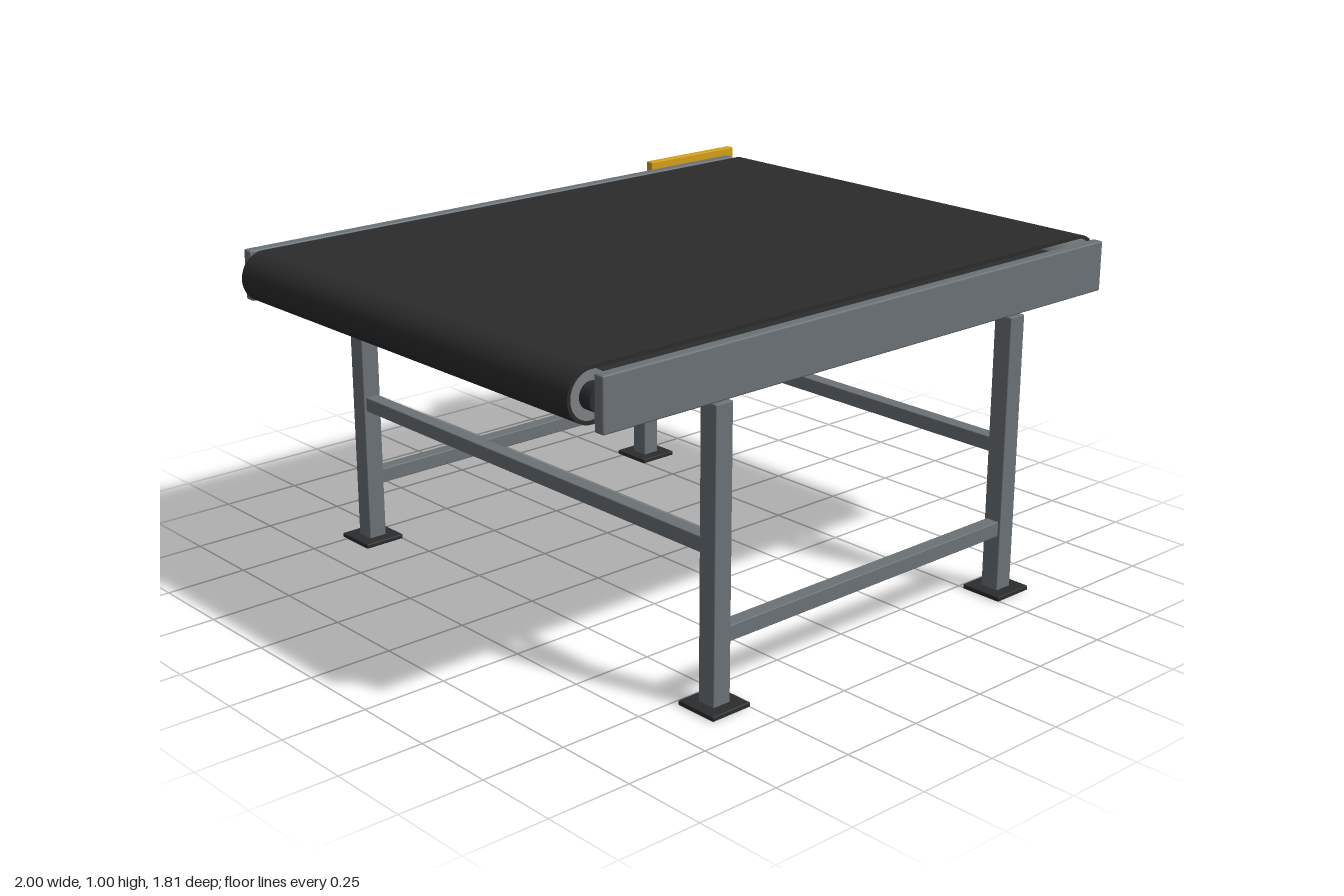
import * as THREE from 'three';
import { RoundedBoxGeometry } from 'three/addons/geometries/RoundedBoxGeometry.js';

const mat = (name, color, extra = {}) => {
  const m = new THREE.MeshStandardMaterial({ color, ...extra });
  m.name = name;
  return m;
};

export function createModel() {
  const model = new THREE.Group();
  model.name = 'beltConveyor';
  const steel = mat('paintedSteel', 0x6b7276);
  const rollerSteel = mat('rollerSteel', 0x7c8184);
  const rubber = mat('beltRubber', 0x2b2b2b);
  const dark = mat('darkMetal', 0x2b2c2d);
  const yellow = mat('guardYellow', 0xd4a017);

  const add = (name, geometry, material, x, y, z) => {
    const mesh = new THREE.Mesh(geometry, material);
    mesh.name = name;
    mesh.position.set(x, y, z);
    model.add(mesh);
    return mesh;
  };
  // Box given by its limits on each axis, with slightly eased edges
  const box = (name, material, [x0, x1], [y0, y1], [z0, z1], r = 0.003) =>
    add(name, new RoundedBoxGeometry(x1 - x0, y1 - y0, z1 - z0, 2, r), material,
      (x0 + x1) / 2, (y0 + y1) / 2, (z0 + z1) / 2);
  const rod = (name, material, radius, length, axis, x, y, z) => {
    const g = new THREE.CylinderGeometry(radius, radius, length, 40);
    if (axis === 'x') g.rotateZ(Math.PI / 2); else g.rotateX(Math.PI / 2);
    return add(name, g, material, x, y, z);
  };

  const zMid = 0.066;               // frame centre line
  const sideZ = [zMid - 0.77, zMid + 0.77];
  const legX = [-0.565, 0.56];
  const axleX = 0.925, axleY = 0.916, beltR = 0.074, beltW = 1.436;

  // Belt: closed loop around the two rollers
  const loop = (Path, r) => {
    const p = new Path();
    p.absarc(axleX, 0, r, -Math.PI / 2, Math.PI / 2, false);
    p.absarc(-axleX, 0, r, Math.PI / 2, Math.PI * 1.5, false);
    p.closePath();
    return p;
  };
  const beltShape = loop(THREE.Shape, beltR);
  beltShape.holes.push(loop(THREE.Path, beltR - 0.01));
  const beltGeo = new THREE.ExtrudeGeometry(beltShape, { depth: beltW, bevelEnabled: false, curveSegments: 24 });
  add('belt', beltGeo, rubber, 0, axleY, zMid - beltW / 2);

  // Rollers with end bearings
  for (const x of [-axleX, axleX]) {
    rod('roller', rollerSteel, beltR - 0.0105, beltW - 0.004, 'z', x, axleY, zMid);
    for (const s of [-1, 1]) {
      rod('bearing', dark, 0.036, 0.04, 'z', x, axleY, zMid + s * 0.735);
    }
  }

  // Slider bed inside the belt
  box('sliderBed', dark, [-0.86, 0.86], [0.9, 0.945], [zMid - 0.735, zMid + 0.735]);

  // Side rails, legs, feet and lengthwise braces
  for (const z of sideZ) {
    box('sideRail', steel, [-0.947, 0.945], [0.836, 0.984], [z - 0.017, z + 0.017], 0.005);
    box('sideBrace', steel, [legX[0] + 0.028, legX[1] - 0.028], [0.18, 0.225], [z - 0.022, z + 0.022]);
    for (const x of legX) {
      box('leg', steel, [x - 0.029, x + 0.029], [0.004, 0.836], [z - 0.029, z + 0.029]);
      box('footPlate', dark, [x - 0.066, x + 0.066], [0, 0.014], [z - 0.066, z + 0.066]);
    }
  }

  // Crosswise braces
  for (const x of legX) {
    box('crossBrace', steel, [x - 0.022, x + 0.022], [0.425, 0.469], [sideZ[0] + 0.028, sideZ[1] - 0.028]);
  }

  // Drive: gearbox, motor and chain guard on the back
  box('gearbox', dark, [0.526, 0.72], [0.706, 0.9], [-0.906, -0.724]);
  rod('motor', dark, 0.074, 0.304, 'x', 0.377, 0.804, -0.815);
  box('driveGuard', yellow, [0.612, 0.982], [0.826, 1.005], [-0.754, -0.728]);

  return model;
}
